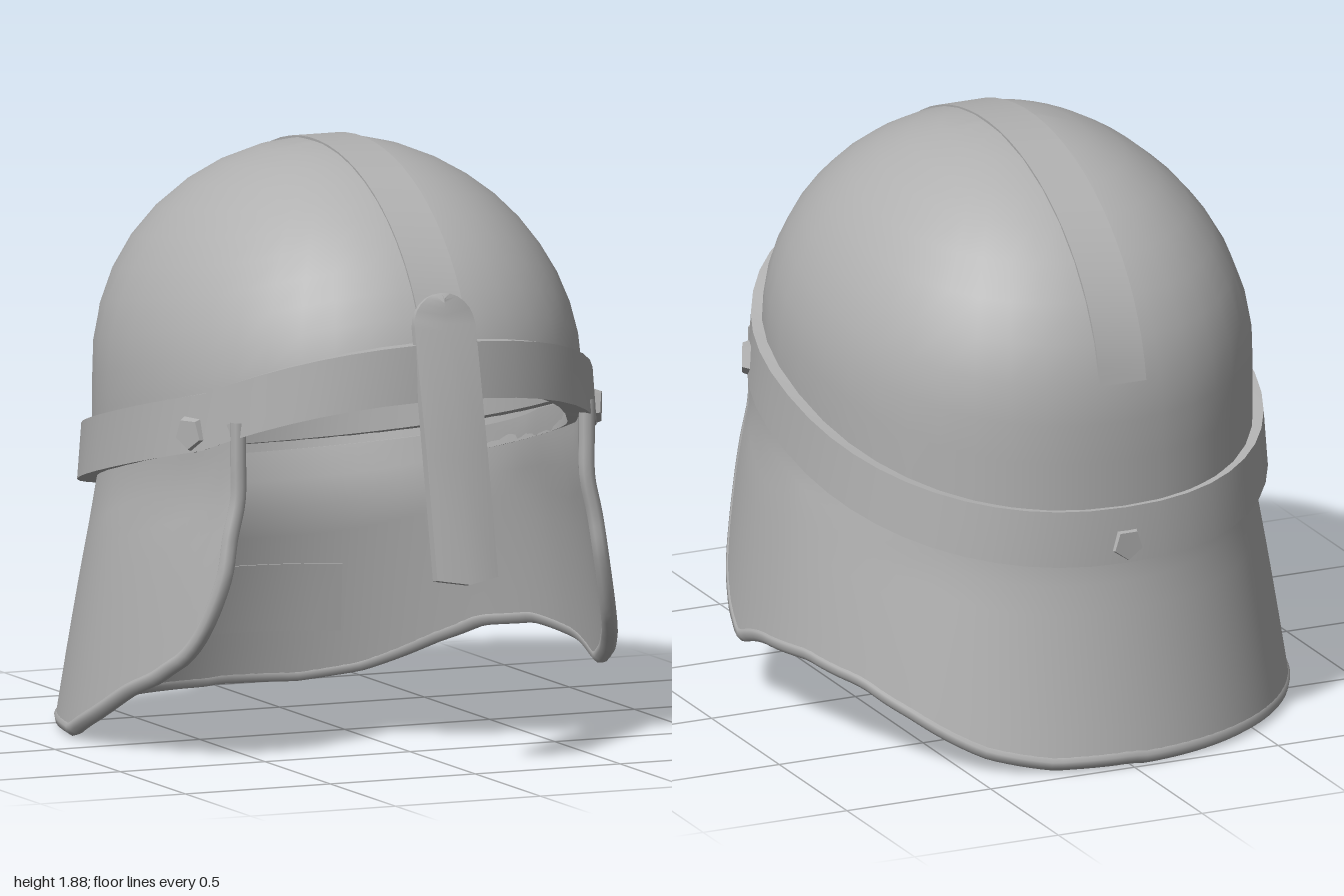
import * as THREE from 'three';
import { toCreasedNormals } from 'three/addons/utils/BufferGeometryUtils.js';

const TAU = Math.PI * 2;
const steel = new THREE.MeshStandardMaterial({ color: 0xb0b0b0 });
steel.name = 'steel';

// Surface through rows of points; every row is a closed loop
function skin(rows, closed, crease = 0.6) {
  const m = rows[0].length, n = rows.length, index = [];
  for (let i = 0; i < (closed ? n : n - 1); i++) {
    for (let j = 0; j < m; j++) {
      const a = i * m + j, b = ((i + 1) % n) * m + j;
      const c = ((i + 1) % n) * m + (j + 1) % m, d = i * m + (j + 1) % m;
      index.push(a, b, c, a, c, d);
    }
  }
  const g = new THREE.BufferGeometry();
  g.setAttribute('position', new THREE.Float32BufferAttribute(rows.flat(2), 3));
  g.setIndex(index);
  return toCreasedNormals(g, crease);
}

const range = (n, f) => Array.from({ length: n }, (_, i) => f(i));
const soft = v => Math.sign(v) * Math.abs(v) ** 0.9;

// Head-shaped outline; angle 0 is the front, a quarter turn is +x
const plan = (a, hx, hz, y) => [hx * soft(Math.sin(a)), y, -0.06 + hz * soft(Math.cos(a))];
const bandY = z => 0.985 + 0.245 * z + Math.max(0, z - 0.4) * 0.2;
const bandAt = a => bandY(plan(a, 0.74, 0.86, 0)[2]);

// Piecewise linear lookup in [z, y] pairs with falling z
function lookup(table, z) {
  for (let i = 1; i < table.length; i++) {
    const [z0, y0] = table[i - 1], [z1, y1] = table[i];
    if (z >= z1) return y0 + (y1 - y0) * Math.min(1, Math.max(0, (z0 - z) / (z0 - z1)));
  }
  return table[table.length - 1][1];
}
const cheek = [[0.53, 0.6], [0.5, 0.46], [0.42, 0.345], [0.3, 0.265], [0.17, 0.21]];
const leftEdge = [...cheek, [0, 0.26], [-0.3, 0.28], [-0.54, 0.245], [-0.7, 0.17], [-0.86, 0.07], [-0.95, 0.035]];
const rightEdge = [...cheek, [0, 0.12], [-0.2, 0.035], [-1, 0.03]];

// Flared neck guard, inset towards the inside; the cheeks run straighter than the back
const FRONT = 1.12;
function guardPoint(a, y, inset) {
  const flareX = Math.max(0, (0.85 - y) / 0.85) ** 0.8;
  const flareZ = Math.max(0, (0.65 - y) / 0.65);
  const hz = Math.cos(a) < 0 ? 0.795 + 0.145 * flareZ : FRONT;
  return [(0.73 + 0.15 * flareX - inset) * Math.sin(a), y, -0.06 + (hz - inset) * Math.cos(a)];
}
const edgeY = a => lookup(Math.sin(a) > 0 ? leftEdge : rightEdge,
  -0.06 + (Math.cos(a) < 0 ? 0.93 : FRONT) * Math.cos(a));

export function createModel() {
  const model = new THREE.Group();
  const add = (name, geometry) => {
    const mesh = new THREE.Mesh(geometry, steel);
    mesh.name = name;
    model.add(mesh);
    return mesh;
  };

  // Dome: outer shell up to the crown, inner shell back down
  add('dome', skin(range(40, i => {
    const a = i / 40 * TAU, start = Math.asin((bandAt(a) - 1.15) / 0.73);
    const shell = (t, inset) => {
      const f = start + (Math.PI / 2 - start) * t, r = f > 0 ? Math.cos(f) : 1;
      return plan(a, (0.725 - inset) * r, (0.865 - inset) * r, 1.15 + (0.73 - inset) * Math.sin(f));
    };
    return [...range(13, j => shell(j / 12, 0)), ...range(13, j => shell(1 - j / 12, 0.05))];
  }), true));

  // Crest strip over the crown
  add('crest', skin(range(31, i => {
    const f = 0.4 + i / 30 * 2.6;
    const at = (x, r) => [x, 1.15 + (0.73 + r) * Math.sin(f), -0.06 + (0.865 + r) * Math.cos(f)];
    return [at(-0.08, -0.03), at(0.08, -0.03), at(0.08, 0.002), at(-0.08, 0.002)].reverse();
  }).reverse(), false));

  // Tilted brow band
  add('browBand', skin(range(48, i => {
    const a = i / 48 * TAU, y = bandAt(a);
    const at = (r, h) => plan(a, 0.74 + r, 0.86 + r, y + h);
    return [at(0.035, -0.09), at(0.022, 0.09), at(-0.03, 0.09), at(-0.055, -0.085)];
  }), true));

  // Neck guard with cheek pieces, open at the front, thinning where it meets the dome
  const open = Math.acos(0.59 / FRONT);
  const angles = range(73, i => open + (TAU - 2 * open) * i / 72);
  add('neckGuard', skin(angles.map(a => {
    const top = bandAt(a), low = edgeY(a), back = Math.max(0, -Math.cos(a));
    const at = (t, inset) => guardPoint(a, low + (top - low) * t, inset);
    return [...range(9, j => at(j / 8, 0)), ...range(9, j => {
      const t = 1 - j / 8;
      return at(t, 0.045 * (1 - back * Math.max(0, 4 * t - 3)));
    })];
  }), false));

  // Rolled rim along the cheeks and the lower edge
  const side = a => range(4, j => guardPoint(a, bandAt(a) + (edgeY(a) - bandAt(a)) * j / 4, 0.022));
  const rim = [...side(angles[0]), ...angles.map(a => guardPoint(a, edgeY(a), 0.022)),
    ...side(angles[72]).reverse()].map(p => new THREE.Vector3(...p));
  add('rolledRim', new THREE.TubeGeometry(new THREE.CatmullRomCurve3(rim), 160, 0.027, 8));

  // Thin plate on the inside of the neck
  add('innerPlate', skin(range(9, i => {
    const a = Math.PI - 0.46 + i / 8 * 0.92;
    return [guardPoint(a, 0.18, 0.044), guardPoint(a, 0.4, 0.044),
      guardPoint(a, 0.4, 0.053), guardPoint(a, 0.18, 0.053)];
  }), false));

  // Nose guard: ridged bar with a pointed foot and a round head
  const bar = (y, w, d = 0.035) => [[w, y, 0], [w, y, d], [0, y - 0.02, d + 0.015], [-w, y, d], [-w, y, 0]];
  const nose = add('noseGuard', skin([
    range(5, () => [0, -0.01, 0.02]), bar(0.01, 0.105), bar(0.4, 0.105), bar(0.81, 0.105, 0.025),
    ...range(6, i => {
      const f = (i + 1) / 6 * Math.PI / 2;
      return bar(0.81 + 0.105 * Math.sin(f), 0.105 * Math.cos(f), 0.02);
    }),
    range(5, () => [0, 0.915, 0.01]),
  ], false));
  nose.position.set(-0.015, 0.605, 0.945);
  nose.rotation.x = -0.206;

  // Five-sided rivets on the band
  const rivet = new THREE.CylinderGeometry(0.05, 0.065, 0.04, 5).toNonIndexed();
  rivet.rotateX(Math.PI / 2);
  rivet.computeVertexNormals();
  for (const [name, a] of [['leftRivet', 1.1], ['rightRivet', -1.1], ['backRivet', Math.PI]]) {
    const [x, y, z] = plan(a, 0.772, 0.88, bandAt(a) - 0.03);
    const mesh = add(name, rivet);
    mesh.position.set(x, y, z);
    mesh.lookAt(x + Math.sin(a), y, z + Math.cos(a));
  }
  return model;
}
